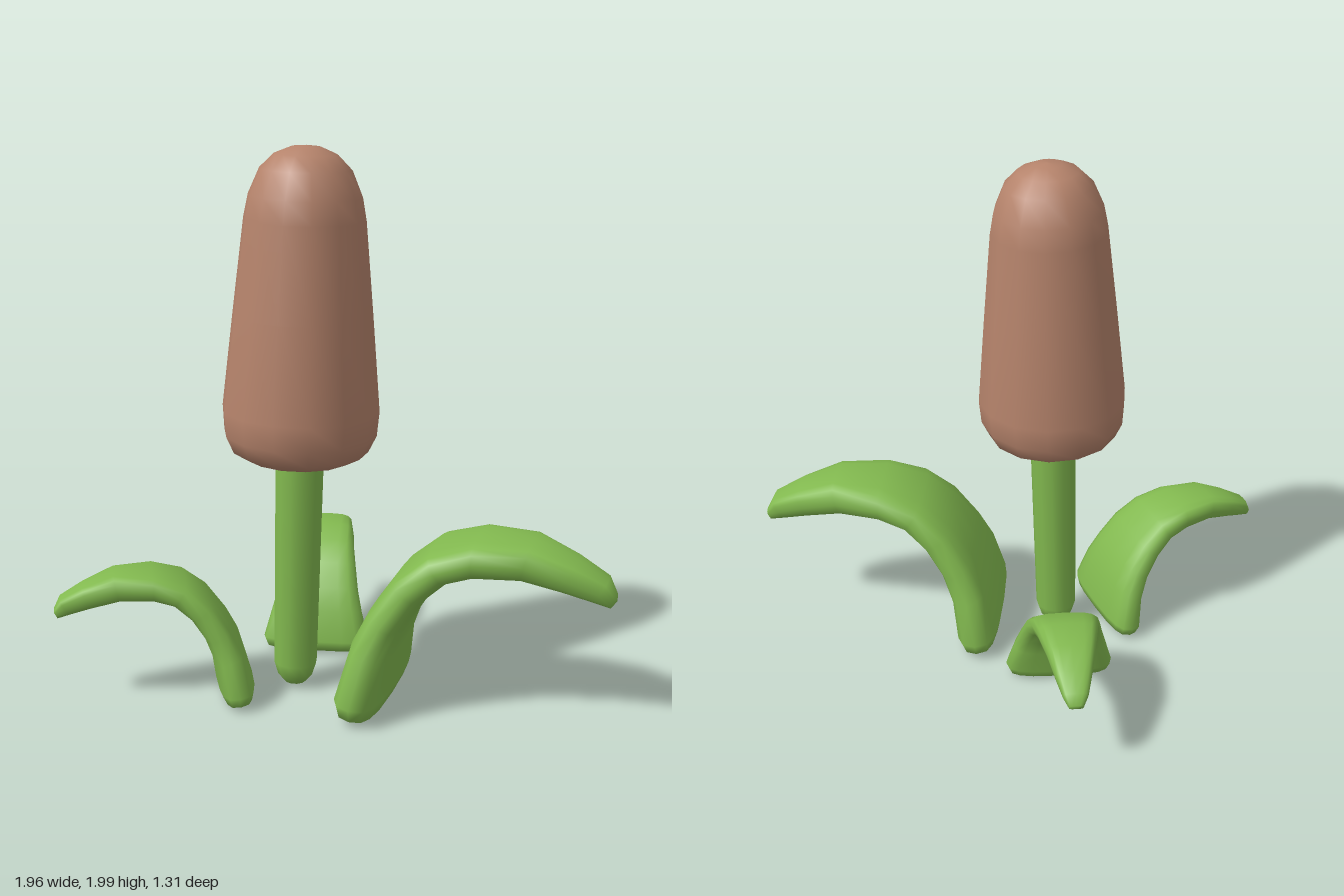
import * as THREE from 'three';

// Leaf sections: outer edge x, y, inner edge x, y, half width
const SECTIONS = [
  [0.07, 0.025, 0.15, 0.015, 0.25],
  [0.03, 0.05, 0.18, 0.03, 0.295],
  [0.02, 0.1, 0.2, 0.08, 0.315],
  [0.07, 0.28, 0.22, 0.23, 0.27],
  [0.13, 0.4, 0.26, 0.34, 0.24],
  [0.22, 0.53, 0.33, 0.45, 0.215],
  [0.34, 0.63, 0.41, 0.52, 0.19],
  [0.5, 0.68, 0.5, 0.545, 0.17],
  [0.69, 0.68, 0.66, 0.545, 0.135],
  [0.84, 0.62, 0.8, 0.51, 0.1],
  [0.95, 0.56, 0.9, 0.48, 0.07],
  [0.98, 0.5, 0.96, 0.46, 0.04],
];
const BASE_X = 0.1;

// Arching leaf skinned over rounded flat sections, base at the origin
function leafGeometry() {
  const sides = 16, pos = [], index = [];
  const soft = (v) => Math.sign(v) * Math.pow(Math.abs(v), 0.65);
  for (const [ox, oy, ix, iy, w] of SECTIONS) {
    for (let j = 0; j < sides; j++) {
      const a = (j / sides) * Math.PI * 2;
      const t = 0.5 + 0.5 * soft(Math.sin(a));
      pos.push(ix + (ox - ix) * t - BASE_X, iy + (oy - iy) * t, w * soft(Math.cos(a)));
    }
  }
  const rows = SECTIONS.length;
  for (let i = 0; i < rows - 1; i++) {
    for (let j = 0; j < sides; j++) {
      const k = (j + 1) % sides;
      const a = i * sides + j, b = i * sides + k, c = a + sides, d = b + sides;
      index.push(a, c, b, b, c, d);
    }
  }
  // Close both ends
  const start = rows * sides, last = (rows - 1) * sides;
  const [s, e] = [SECTIONS[0], SECTIONS[rows - 1]];
  pos.push((s[0] + s[2]) / 2 - BASE_X, 0.015, 0);
  pos.push(e[2] + 0.02 - BASE_X, (e[1] + e[3]) / 2, 0);
  for (let j = 0; j < sides; j++) {
    const k = (j + 1) % sides;
    index.push(start, j, k, start + 1, last + k, last + j);
  }
  const geo = new THREE.BufferGeometry();
  geo.setAttribute('position', new THREE.Float32BufferAttribute(pos, 3));
  geo.setIndex(index);
  geo.computeVertexNormals();
  return geo;
}

function lathe(points, sides) {
  return new THREE.LatheGeometry(points.map(([r, y]) => new THREE.Vector2(r, y)), sides);
}

export function createModel() {
  const model = new THREE.Group();
  model.name = 'plant';
  const green = new THREE.MeshStandardMaterial({ color: 0x82b94f });
  green.name = 'leaf green';
  const brown = new THREE.MeshStandardMaterial({ color: 0xb5836b });
  brown.name = 'seed head brown';

  // Slightly leaning stalk with its seed head
  const stalk = new THREE.Group();
  stalk.name = 'stalk';
  stalk.position.set(-0.198, 0, 0.235);
  stalk.rotation.z = -0.033;
  const stem = new THREE.Mesh(lathe([
    [0, 0.02], [0.04, 0.03], [0.065, 0.06], [0.08, 0.11], [0.088, 0.9], [0.088, 1],
  ], 12), green);
  stem.name = 'stem';
  const head = new THREE.Mesh(lathe([
    [0, 0.895], [0.19, 0.9], [0.245, 0.93], [0.273, 0.99], [0.28, 1.08], [0.247, 1.42],
    [0.213, 1.75], [0.198, 1.83], [0.16, 1.92], [0.11, 1.97], [0.05, 1.995], [0, 2],
  ], 14), brown);
  head.name = 'seedHead';
  stalk.add(stem, head);
  model.add(stalk);

  // Three leaves: name, base x, base z, direction x, direction z, scale
  const geo = leafGeometry();
  for (const [name, x, z, dx, dz, scale] of [
    ['leftLeaf', 0.1, 0.235, 1, 0, 1],
    ['rightLeaf', -0.4, 0.32, -0.57, 0.3, 0.735],
    ['backLeaf', -0.225, -0.085, -0.09, -0.56, 0.66],
  ]) {
    const leaf = new THREE.Mesh(geo, green);
    leaf.name = name;
    leaf.position.set(x, 0, z);
    leaf.rotation.y = Math.atan2(-dz, dx);
    leaf.scale.setScalar(scale);
    model.add(leaf);
  }
  return model;
}
